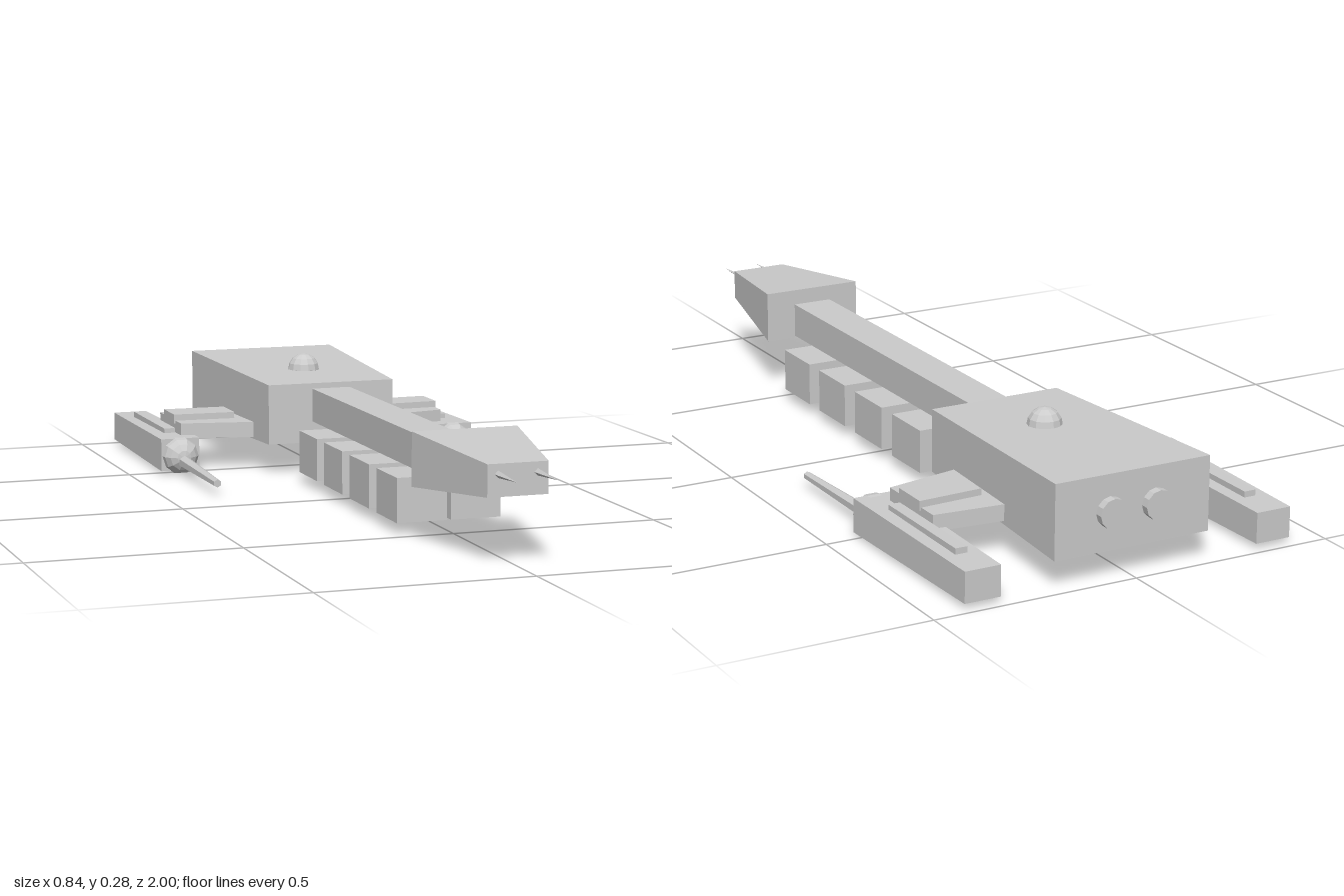
import * as THREE from 'three';

const grey = new THREE.MeshStandardMaterial({ color: 0xcccccc, flatShading: true });

export function createModel() {
  const model = new THREE.Group();

  const add = (name, geometry, x = 0, y = 0, z = 0) => {
    const mesh = new THREE.Mesh(geometry, grey);
    mesh.name = name;
    mesh.position.set(x, y, z);
    model.add(mesh);
    return mesh;
  };

  // Box given by its limits
  const block = (name, x0, x1, y0, y1, z0, z1) =>
    add(name, new THREE.BoxGeometry(x1 - x0, y1 - y0, z1 - z0),
      (x0 + x1) / 2, (y0 + y1) / 2, (z0 + z1) / 2);

  // Box tapering along z; each end is [z, half width, bottom, top]
  const taperZ = (name, back, front, x = 0) => {
    const g = new THREE.BoxGeometry(2, 2, 2);
    const p = g.attributes.position;
    for (let i = 0; i < p.count; i++) {
      const [z, w, lo, hi] = p.getZ(i) > 0 ? front : back;
      p.setXYZ(i, p.getX(i) * w, p.getY(i) > 0 ? hi : lo, z);
    }
    return add(name, g, x);
  };

  // Slab tapering outwards in x; each end is [x, back z, front z]
  const taperX = (name, side, root, tip, lo, hi) => {
    const g = new THREE.BoxGeometry(2, 2, 2);
    const p = g.attributes.position;
    for (let i = 0; i < p.count; i++) {
      const [x, zb, zf] = p.getX(i) * side > 0 ? tip : root;
      p.setXYZ(i, x * side, p.getY(i) > 0 ? hi : lo, p.getZ(i) > 0 ? zf : zb);
    }
    return add(name, g);
  };

  // Central body
  taperZ('hull', [-0.98, 0.196, 0.07, 0.246], [-0.38, 0.166, 0.08, 0.232]);
  block('spine', -0.05, 0.05, 0.134, 0.218, -0.4, 0.59);
  taperZ('head', [0.57, 0.127, 0.13, 0.256], [0.89, 0.071, 0.157, 0.23]);
  add('dome', new THREE.SphereGeometry(0.041, 12, 8), 0, 0.237, -0.605);

  for (const side of [-1, 1]) {
    // Needles on the nose and exhausts on the stern
    add('noseNeedle', new THREE.ConeGeometry(0.009, 0.12, 4).rotateX(Math.PI / 2),
      side * 0.046, 0.207, 0.94);
    add('exhaust', new THREE.CylinderGeometry(0.035, 0.035, 0.04, 12).rotateX(Math.PI / 2),
      side * 0.058, 0.16, -0.98);

    // Cargo boxes under the spine
    for (let i = 0; i < 4; i++) {
      const z = -0.18 + i * 0.194;
      const inner = side * 0.005, outer = side * 0.127;
      block('cargoBox', Math.min(inner, outer), Math.max(inner, outer),
        0.029, 0.134, z - 0.07, z + 0.07);
    }

    // Wing with a raised panel
    taperX('wing', side, [0.15, -0.748, -0.49], [0.355, -0.73, -0.53], 0.083, 0.122);
    taperX('wingPanel', side, [0.2, -0.67, -0.572], [0.359, -0.677, -0.58], 0.115, 0.138);

    // Outboard pod with top rail, ball mount and barrel
    const podX = side * 0.371;
    taperZ('pod', [-0.98, 0.044, 0.015, 0.088], [-0.48, 0.05, 0.01, 0.092], podX);
    block('podRail', podX - 0.0145, podX + 0.0145, 0.08, 0.103, -0.886, -0.58);
    add('ballMount', new THREE.SphereGeometry(0.048, 10, 8).rotateX(Math.PI / 2),
      podX, 0.048, -0.485);
    const barrel = add('barrel',
      new THREE.CylinderGeometry(0.01, 0.017, 0.33, 6).rotateX(Math.PI / 2),
      podX, 0.035, -0.31);
    barrel.rotation.x = 0.02;
  }

  return model;
}
